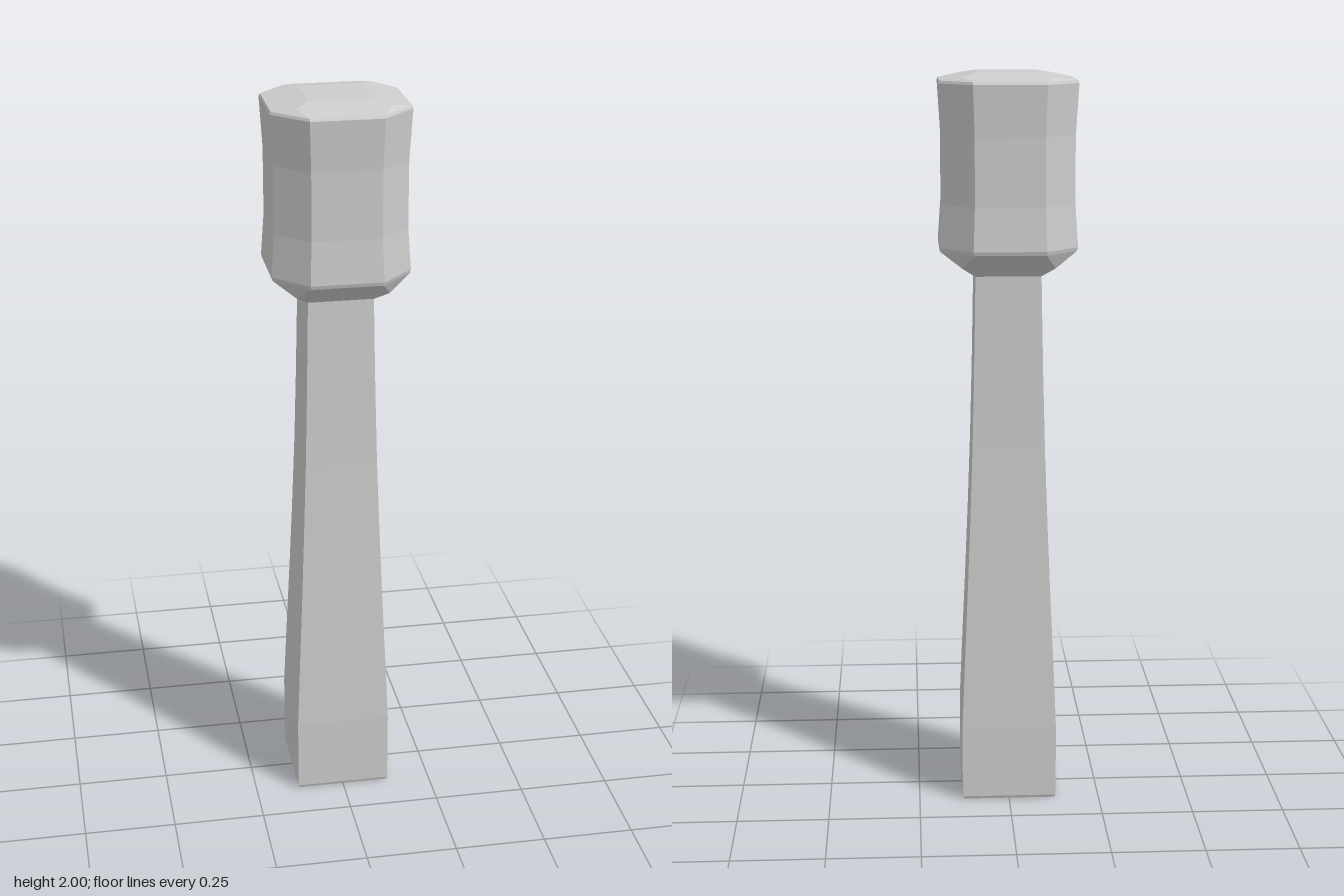
import * as THREE from 'three';

// Eight points round a chamfered square; a chamfer start c equal to w gives a plain square.
function ring([y, w, c = w]) {
  return [[-c, w], [c, w], [w, c], [w, -c], [c, -w], [-c, -w], [-w, -c], [-w, c]]
    .map(([x, z]) => new THREE.Vector3(x, y, z));
}

// Skin the rings from bottom to top, with optional end caps and flat facets.
function loft(sections, capBottom, capTop) {
  const rings = sections.map(ring);
  const points = [];
  const tri = (a, b, c) => {
    if (new THREE.Triangle(a, b, c).getArea() > 1e-8) points.push(a, b, c);
  };
  for (let r = 0; r < rings.length - 1; r++) {
    const lo = rings[r], hi = rings[r + 1];
    for (let i = 0; i < 8; i++) {
      const j = (i + 1) % 8;
      tri(lo[i], lo[j], hi[j]);
      tri(lo[i], hi[j], hi[i]);
    }
  }
  const first = rings[0], last = rings[rings.length - 1];
  for (let i = 1; i < 7; i++) {
    if (capBottom) tri(first[0], first[i + 1], first[i]);
    if (capTop) tri(last[0], last[i], last[i + 1]);
  }
  const geometry = new THREE.BufferGeometry().setFromPoints(points);
  geometry.computeVertexNormals();
  return geometry;
}

export function createModel() {
  const model = new THREE.Group();
  model.name = 'mallet';
  const grey = new THREE.MeshStandardMaterial({ color: 0xcccccc });
  grey.name = 'light grey';

  const add = (name, geometry) => {
    const mesh = new THREE.Mesh(geometry, grey);
    mesh.name = name;
    model.add(mesh);
  };

  // Square handle with a straight foot and a gently curved taper
  add('handle', loft([
    [0, 0.127], [0.008, 0.13], [0.21, 0.13], [0.4, 0.122], [0.6, 0.113],
    [0.8, 0.105], [1.0, 0.098], [1.2, 0.093], [1.35, 0.09], [1.467, 0.088],
  ], true, false));

  // Chamfered head, slightly waisted, with sloping shoulders and crown
  add('head', loft([
    [1.467, 0.088], [1.493, 0.123],
    [1.535, 0.181, 0.095], [1.545, 0.184, 0.096],
    [1.66, 0.176, 0.092], [1.84, 0.176, 0.092],
    [1.974, 0.184, 0.096], [1.981, 0.181, 0.095],
    [1.992, 0.123], [2.0, 0.084],
  ], false, true));

  return model;
}
